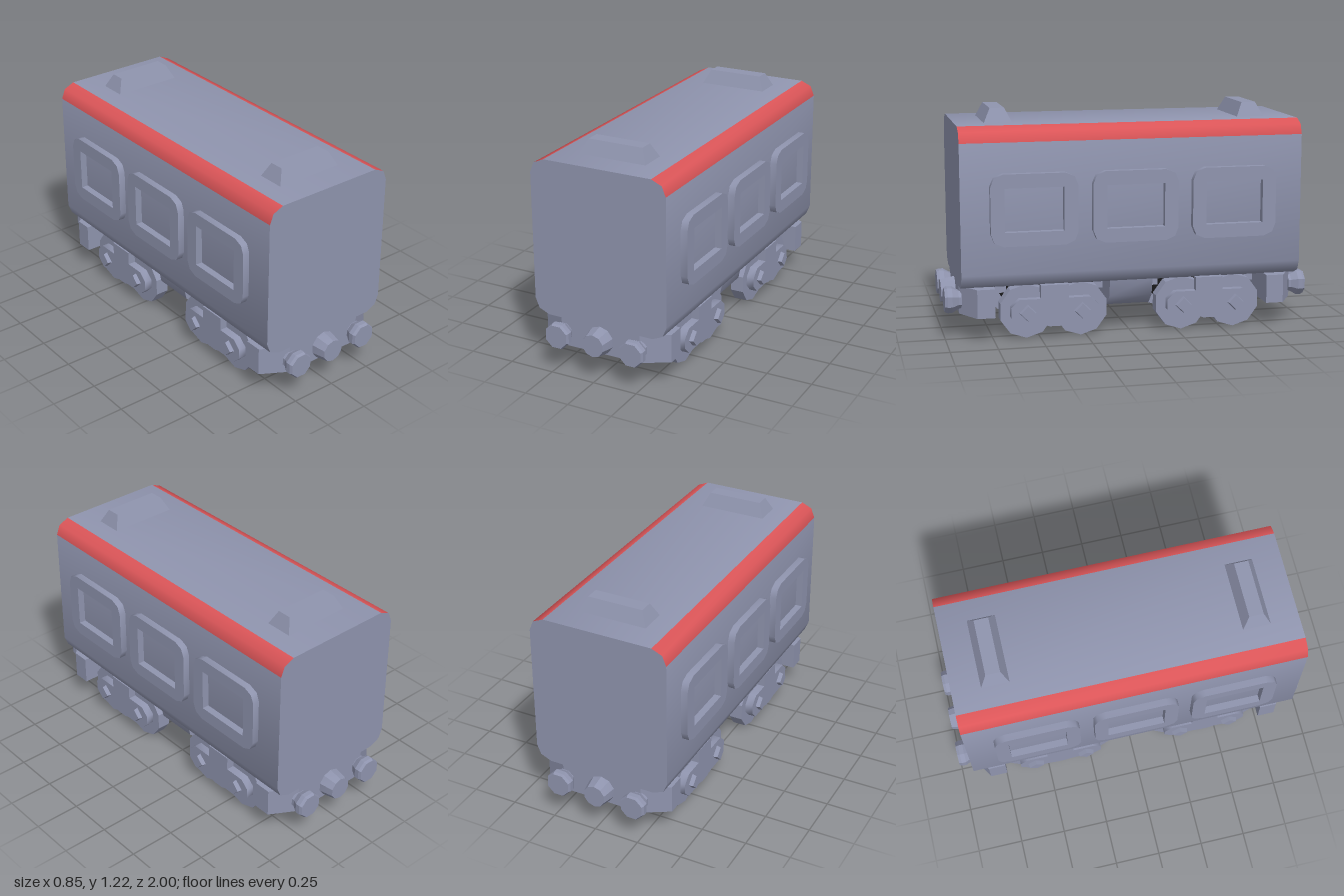
import * as THREE from 'three';
import { toCreasedNormals } from 'three/addons/utils/BufferGeometryUtils.js';

const mat = (name, color) => new THREE.MeshStandardMaterial({ name, color });
const toShape = pts => new THREE.Shape(pts.map(p => new THREE.Vector2(p[0], p[1])));

// Prism along z, centred, with softly shaded small corners
function prismZ(pts, depth, hole) {
  const shape = toShape(pts);
  if (hole) shape.holes.push(toShape(hole));
  const g = new THREE.ExtrudeGeometry(shape, { depth, bevelEnabled: false });
  g.translate(0, 0, -depth / 2);
  return toCreasedNormals(g, 0.9);
}
// Prism along x
const prismX = (pts, depth, hole) => prismZ(pts, depth, hole).rotateY(Math.PI / 2);

// Rectangle with three-point rounded corners
function softRect(hw, y0, y1, c) {
  const k = 0.27 * c, m = c;
  const right = [[hw - m, y0], [hw - k, y0 + k * 1.2], [hw, y0 + m],
    [hw, y1 - m], [hw - k, y1 - k * 1.2], [hw - m, y1]];
  return [...right, ...right.map(([x, y]) => [-x, y]).reverse()];
}
const rect = (hw, y0, y1) => [[-hw, y0], [hw, y0], [hw, y1], [-hw, y1]];

// Faceted turned part along +z from [radius, z] points
function turned(profile, sides, turn) {
  const g = new THREE.LatheGeometry(profile.map(p => new THREE.Vector2(p[0], p[1])), sides);
  g.rotateY(turn).rotateX(Math.PI / 2);
  return toCreasedNormals(g, 0.3);
}

export function createModel() {
  const model = new THREE.Group();
  model.name = 'railCarriage';
  const grey = mat('blueGrey', 0x8f94ae);
  const red = mat('roofRed', 0xdb5558);
  const dark = mat('darkUndergear', 0x2a2a2c);
  const add = (parent, name, geo, material, x = 0, y = 0, z = 0) => {
    const m = new THREE.Mesh(geo, material);
    m.name = name;
    m.position.set(x, y, z);
    parent.add(m);
    return m;
  };

  // Carriage body, with red on the upper corner facets
  const bodyGeo = prismZ(softRect(0.385, 0.28, 1.135, 0.08), 1.845);
  const pos = bodyGeo.attributes.position;
  bodyGeo.clearGroups();
  for (let i = 0; i < pos.count; i += 3) {
    const ids = [i, i + 1, i + 2];
    const ys = ids.map(j => pos.getY(j)), zs = ids.map(j => pos.getZ(j));
    const isEnd = Math.max(...zs) - Math.min(...zs) < 0.01;
    const isCorner = Math.min(...ys) > 1.04 && Math.max(...ys) - Math.min(...ys) > 0.01;
    bodyGeo.addGroup(i, 3, !isEnd && isCorner ? 1 : 0);
  }
  add(model, 'body', bodyGeo, [grey, red]);

  // Roof vents: boxes narrowed at the top
  for (const z of [-0.693, 0.693]) {
    const g = new THREE.BoxGeometry(0.384, 0.08, 0.154).toNonIndexed();
    const p = g.attributes.position;
    for (let i = 0; i < p.count; i++)
      if (p.getY(i) > 0) p.setXYZ(i, p.getX(i) * 0.8, p.getY(i), p.getZ(i) * 0.5);
    g.computeVertexNormals();
    add(model, 'roofVent', g, grey, 0, 1.17, z);
  }

  // Window frames
  const frameGeo = prismX(softRect(0.23, -0.19, 0.19, 0.066), 0.048, rect(0.156, -0.116, 0.116));
  for (const s of [-1, 1])
    for (const z of [-0.54, 0, 0.54]) add(model, 'windowFrame', frameGeo, grey, s * 0.399, 0.705, z);

  // Floor beam and belly box
  add(model, 'floorBeam', new THREE.BoxGeometry(0.24, 0.09, 1.5), grey, 0, 0.245, 0);
  add(model, 'bellyBox', prismZ([[-0.22, 0.13], [0.22, 0.13], [0.29, 0.19], [0.31, 0.285],
    [-0.31, 0.285], [-0.29, 0.19]], 0.235), grey);

  // Bogies
  const wheelGeo = new THREE.CylinderGeometry(0.147, 0.147, 0.075, 10).rotateZ(Math.PI / 2);
  wheelGeo.rotateX(Math.PI / 2);
  const wheelFlat = toCreasedNormals(wheelGeo, 0.3);
  const half = [[0.03, 0.06], [0.06, 0.07], [0.19, 0.07], [0.235, 0.115], [0.235, 0.17],
    [0.19, 0.212], [0.075, 0.212], [0.075, 0.285]];
  const frame = [...half, ...half.map(([u, y]) => [-u, y]).reverse()];
  const sideFrameGeo = prismX(frame, 0.044);
  const boltGeo = toCreasedNormals(
    new THREE.CylinderGeometry(0.04, 0.046, 0.025, 4).rotateZ(-Math.PI / 2), 0.3);
  const drumGeo = prismX([[-0.12, 0.055], [0.12, 0.055], [0.19, 0.08], [0.23, 0.13], [0.23, 0.27],
    [-0.23, 0.27], [-0.23, 0.13], [-0.19, 0.08]], 0.47);
  for (const z of [-0.425, 0.425]) {
    const bogie = new THREE.Group();
    bogie.name = 'bogie';
    bogie.position.z = z;
    model.add(bogie);
    add(bogie, 'axleCasing', drumGeo, dark);
    for (const s of [-1, 1]) {
      add(bogie, 'sideFrame', sideFrameGeo, grey, s * 0.331);
      for (const w of [-0.147, 0.147]) {
        add(bogie, 'wheel', wheelFlat, grey, s * 0.272, 0.14, w);
        const bolt = add(bogie, 'axleBolt', boltGeo, grey, s * 0.364, 0.14, w);
        if (s < 0) bolt.rotation.y = Math.PI;
      }
    }
  }

  // End beams, buffers and couplers
  const plan = [[-0.37, 0.745], [0.37, 0.745], [0.37, 0.84], [0.23, 0.922], [-0.23, 0.922], [-0.37, 0.84]];
  const beamGeo = toCreasedNormals(
    new THREE.ExtrudeGeometry(toShape(plan), { depth: 0.155, bevelEnabled: false }).rotateX(Math.PI / 2), 0.3);
  const bufferGeo = turned([[0, 0.91], [0.052, 0.91], [0.052, 0.925], [0.073, 0.96], [0.073, 0.985],
    [0.066, 1], [0, 1]], 8, Math.PI / 8);
  const couplerGeo = turned([[0, 0.91], [0.077, 0.91], [0.077, 0.925], [0.062, 1], [0, 1]], 10, 0);
  for (const turn of [0, Math.PI]) {
    const end = new THREE.Group();
    end.name = 'carriageEnd';
    end.rotation.y = turn;
    model.add(end);
    add(end, 'endBeam', beamGeo, grey, 0, 0.281, 0);
    add(end, 'coupler', couplerGeo, grey, 0, 0.202, 0);
    for (const x of [-0.218, 0.218]) add(end, 'buffer', bufferGeo, grey, x, 0.202, 0);
  }
  return model;
}
